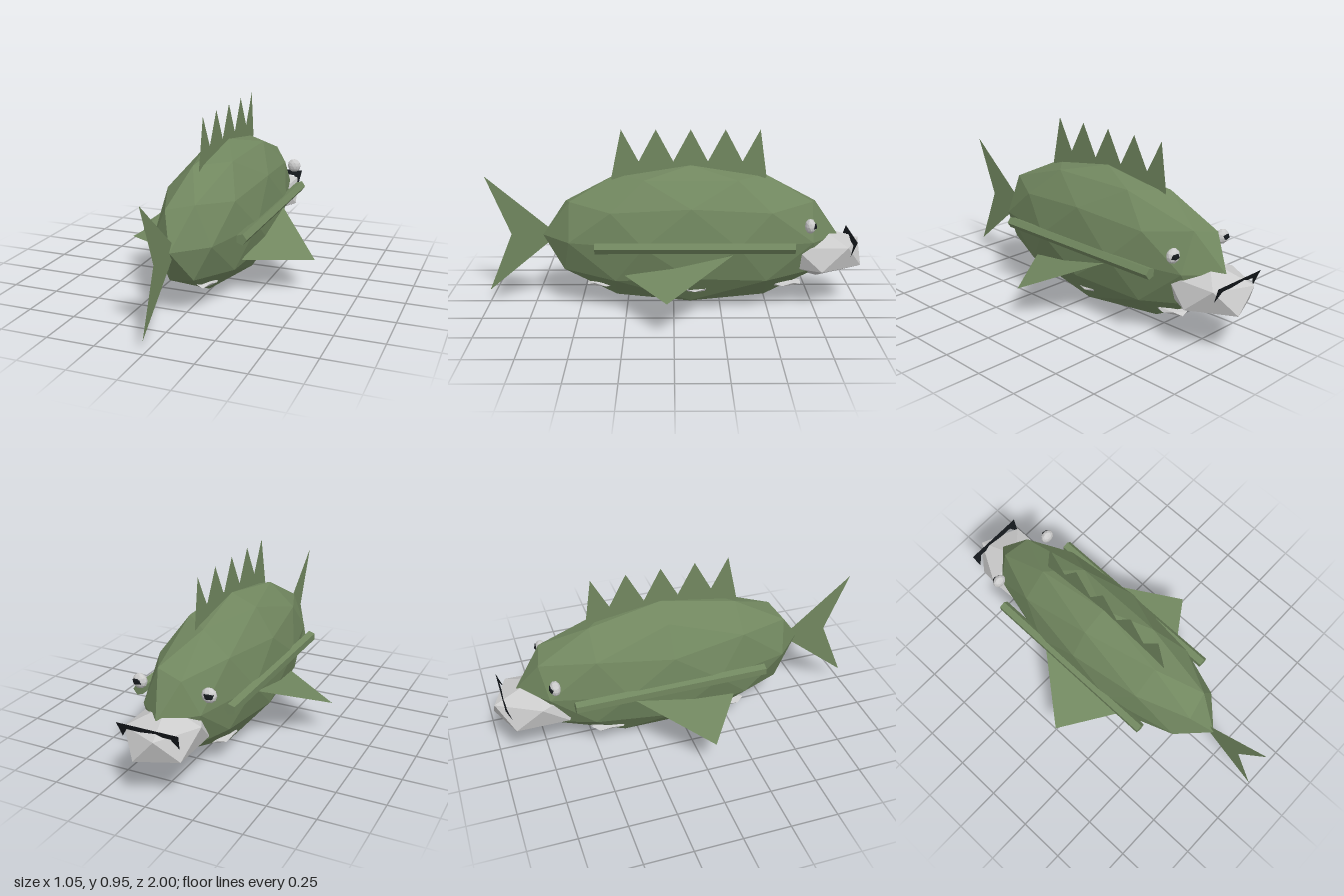
import * as THREE from 'three';

const mat = (color) => new THREE.MeshStandardMaterial({ color, flatShading: true, side: THREE.DoubleSide });
const green = mat(0x71875f), grey = mat(0xcccccc), black = mat(0x14181c);

export function createModel() {
  const fish = new THREE.Group();

  const add = (name, geometry, material, x = 0, y = 0, z = 0) => {
    const mesh = new THREE.Mesh(geometry, material);
    mesh.name = name;
    mesh.position.set(x, y, z);
    fish.add(mesh);
    return mesh;
  };

  // Faceted ball standing on a corner, stretched to the given radii
  const ball = (detail, rx, ry, rz) => new THREE.IcosahedronGeometry(1, detail)
    .rotateX(-Math.atan((1 + Math.sqrt(5)) / 2))
    .rotateY(-Math.PI / 2)
    .scale(rx, ry, rz);

  // Thin plate in the x = 0 plane from [z, y] points
  const plate = (points) => new THREE.ShapeGeometry(
    new THREE.Shape(points.map(([z, y]) => new THREE.Vector2(-z, y)))
  ).rotateY(Math.PI / 2);

  add('body', ball(1, 0.263, 0.38, 0.79), green, 0, 0.38, -0.09);
  add('snout', ball(0, 0.203, 0.138, 0.265), grey, 0, 0.286, -0.775);

  // Down-turned mouth, leaning back at the bottom
  const lips = new THREE.Shape([
    [-0.163, 0], [0.163, 0], [0.15, -0.088], [0.115, -0.032], [-0.115, -0.032], [-0.15, -0.088],
  ].map((p) => new THREE.Vector2(...p)));
  add('mouth', new THREE.ShapeGeometry(lips).rotateX(-0.36), black, 0, 0.382, -0.957);

  // Dorsal fin: five spikes
  const spikes = [[0.33, 0.69]];
  for (let i = 0; i < 5; i++) {
    const z = 0.275 - i * 0.182;
    spikes.push([z, 0.95]);
    if (i < 4) spikes.push([z - 0.091, 0.78]);
  }
  spikes.push([-0.49, 0.7], [-0.45, 0.62], [0.3, 0.62]);
  add('dorsalFin', plate(spikes), green);

  add('tailFin', plate([[0.62, 0.38], [1, 0.7], [0.87, 0.382], [1, 0.065]]), green);

  for (const [side, s] of [['left', 1], ['right', -1]]) {
    // Side fins
    const fin = new THREE.BufferGeometry().setFromPoints([
      new THREE.Vector3(s * 0.24, 0.345, -0.31),
      new THREE.Vector3(s * 0.2, 0.217, 0.255),
      new THREE.Vector3(s * 0.525, 0.185, 0.035),
    ]);
    fin.setIndex(s > 0 ? [0, 1, 2] : [0, 2, 1]);
    fin.computeVertexNormals();
    add(side + 'Fin', fin, green);

    // Five-sided rail along the flank
    const rail = new THREE.CylinderGeometry(0.03, 0.03, 1.025, 5).rotateX(Math.PI / 2).rotateZ(Math.PI * 0.1);
    const pos = rail.attributes.position;
    // Turn the rail so one edge points to +x
    let best = 0, angle = 0;
    for (let i = 0; i < pos.count; i++) {
      if (pos.getX(i) > best) {
        best = pos.getX(i);
        angle = Math.atan2(pos.getY(i), pos.getX(i));
      }
    }
    add(side + 'Rail', rail.rotateZ(-angle), green, s * 0.25, 0.383, -0.108);

    // Eyes
    add(side + 'Eye', ball(1, 0.039, 0.039, 0.028), grey, s * 0.186, 0.48, -0.703);
    add(side + 'Pupil', ball(0, 0.03, 0.022, 0.021), black, s * 0.19, 0.482, -0.717);
  }

  // Flat pale patches scattered on the belly
  const patches = [[0.14, -0.11], [0.055, -0.58], [0.055, 0.36], [-0.12, -0.42], [-0.13, 0.23]];
  patches.forEach(([x, z], i) => {
    add('bellyPatch' + (i + 1), ball(0, 0.058, 0.018, 0.118), grey, x, 0.13, z);
  });

  return fish;
}
